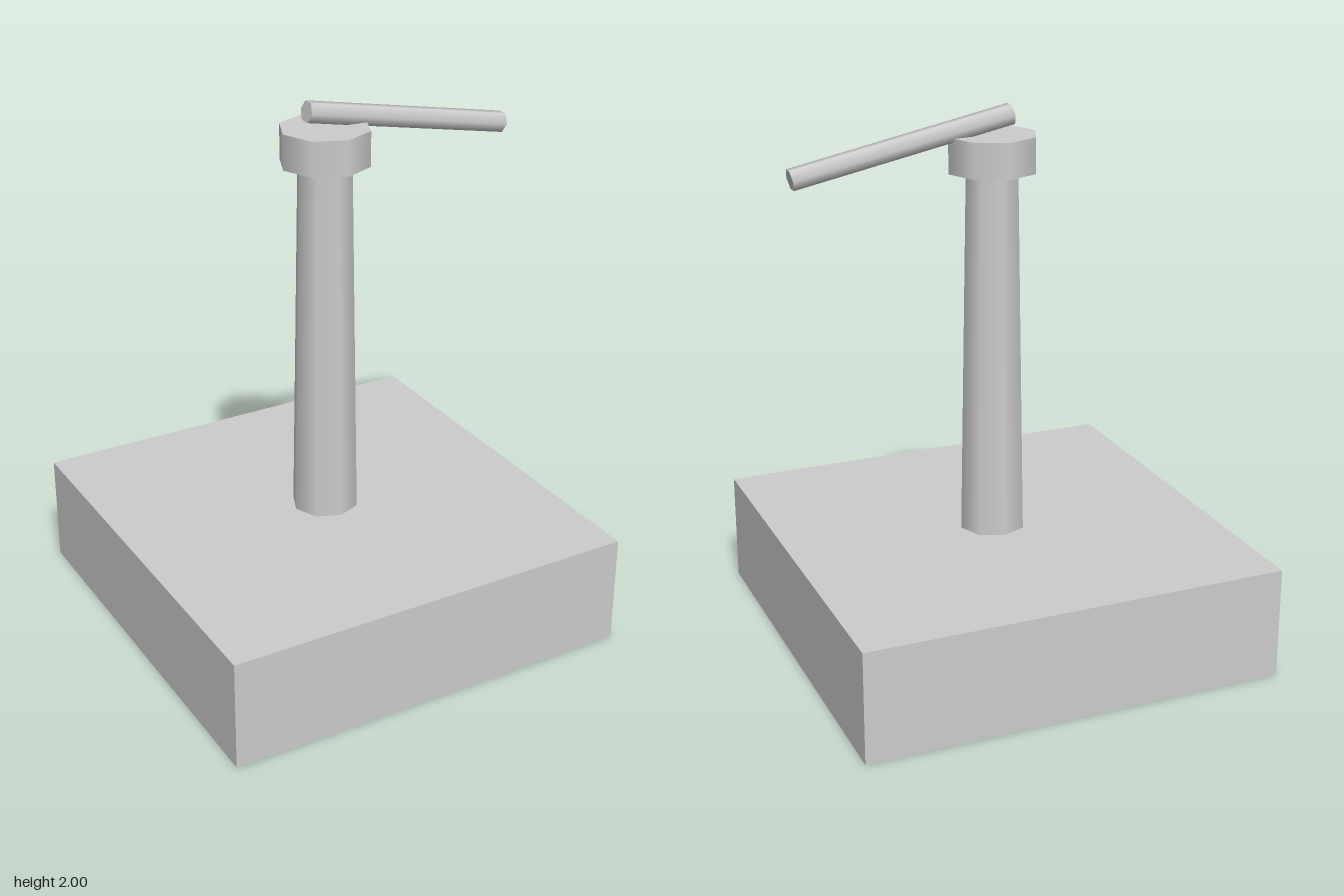
import * as THREE from 'three';

export function createModel() {
  const group = new THREE.Group();
  const grey = new THREE.MeshStandardMaterial({ color: 0xcccccc });
  grey.name = 'light grey';

  const add = (name, geometry, x, y) => {
    const mesh = new THREE.Mesh(geometry, grey);
    mesh.name = name;
    mesh.position.set(x, y, 0);
    group.add(mesh);
    return mesh;
  };

  // Square plinth
  add('base', new THREE.BoxGeometry(1.575, 0.415, 1.575), 0, 0.2075);

  // Tapered eight-sided column with a wider cap
  add('column', new THREE.CylinderGeometry(0.1, 0.125, 1.36, 8), 0, 1.095);
  add('cap', new THREE.CylinderGeometry(0.165, 0.165, 0.13, 8), 0, 1.835);

  // Six-sided arm, sloping down towards +x
  const arm = add('arm', new THREE.CylinderGeometry(0.04, 0.04, 0.828, 6), 0.333, 1.884);
  arm.rotation.z = Math.PI / 2 - 0.2;

  return group;
}
